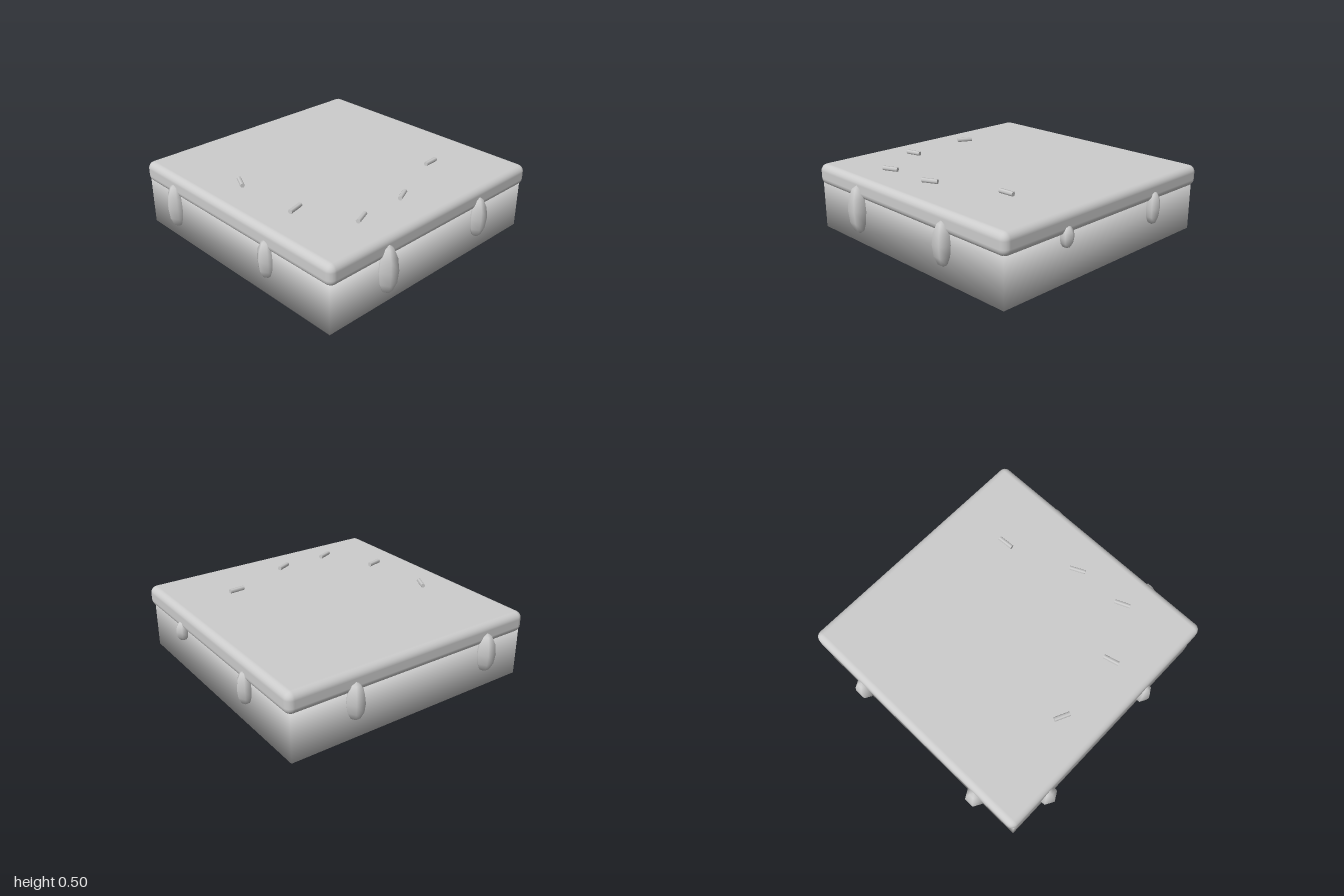
import * as THREE from 'three';
import { mergeVertices } from 'three/addons/utils/BufferGeometryUtils.js';
import { RoundedBoxGeometry } from 'three/addons/geometries/RoundedBoxGeometry.js';

export function createModel() {
  const group = new THREE.Group();
  const grey = new THREE.MeshStandardMaterial({ color: 0xcccccc });
  grey.name = 'lightGrey';

  function add(name, geometry, x, y, z) {
    const mesh = new THREE.Mesh(geometry, grey);
    mesh.name = name;
    mesh.position.set(x, y, z);
    group.add(mesh);
    return mesh;
  }

  // Cake base: a box with shared corners, so its shading is soft
  let base = new THREE.BoxGeometry(1.84, 0.34, 1.84);
  base.deleteAttribute('normal');
  base.deleteAttribute('uv');
  base = mergeVertices(base);
  base.computeVertexNormals();
  add('cakeBase', base, 0, 0.17, -0.005);

  // Rounded slab of icing
  add('icing', new RoundedBoxGeometry(1.885, 0.15, 1.885, 3, 0.05), 0, 0.4, -0.012);

  // Icing drips: x, z, radius, bottom, top
  const drip = new THREE.SphereGeometry(1, 6, 6).rotateY(Math.PI / 2);
  const drips = [
    [-0.6, 0.92, 0.07, 0.09, 0.42],
    [0.37, 0.92, 0.061, 0.13, 0.405],
    [0.937, 0.457, 0.072, 0.08, 0.425],
    [0.937, -0.423, 0.065, 0.115, 0.415],
    [-0.94, 0.587, 0.07, 0.13, 0.41],
    [-0.94, -0.485, 0.066, 0.145, 0.405],
    [-0.44, -0.943, 0.055, 0.163, 0.4],
    [0.42, -0.943, 0.048, 0.243, 0.388],
  ];
  for (const [x, z, r, bottom, top] of drips) {
    add('drip', drip, x, (bottom + top) / 2, z).scale.set(r, (top - bottom) / 2, r);
  }

  // Sprinkles lying on the icing: x, z, and turn about y
  const sprinkle = new THREE.CylinderGeometry(0.016, 0.016, 0.112, 6)
    .rotateY(Math.PI / 6).rotateX(Math.PI / 2);
  const sprinkles = [
    [-0.195, 0.665, 1.13],
    [0.322, 0.64, 0.25],
    [0.685, 0.425, 0.4],
    [0.662, 0.027, 0.44],
    [0.468, -0.485, 0.06],
  ];
  for (const [x, z, turn] of sprinkles) {
    add('sprinkle', sprinkle, x, 0.491, z).rotation.y = turn;
  }

  return group;
}
